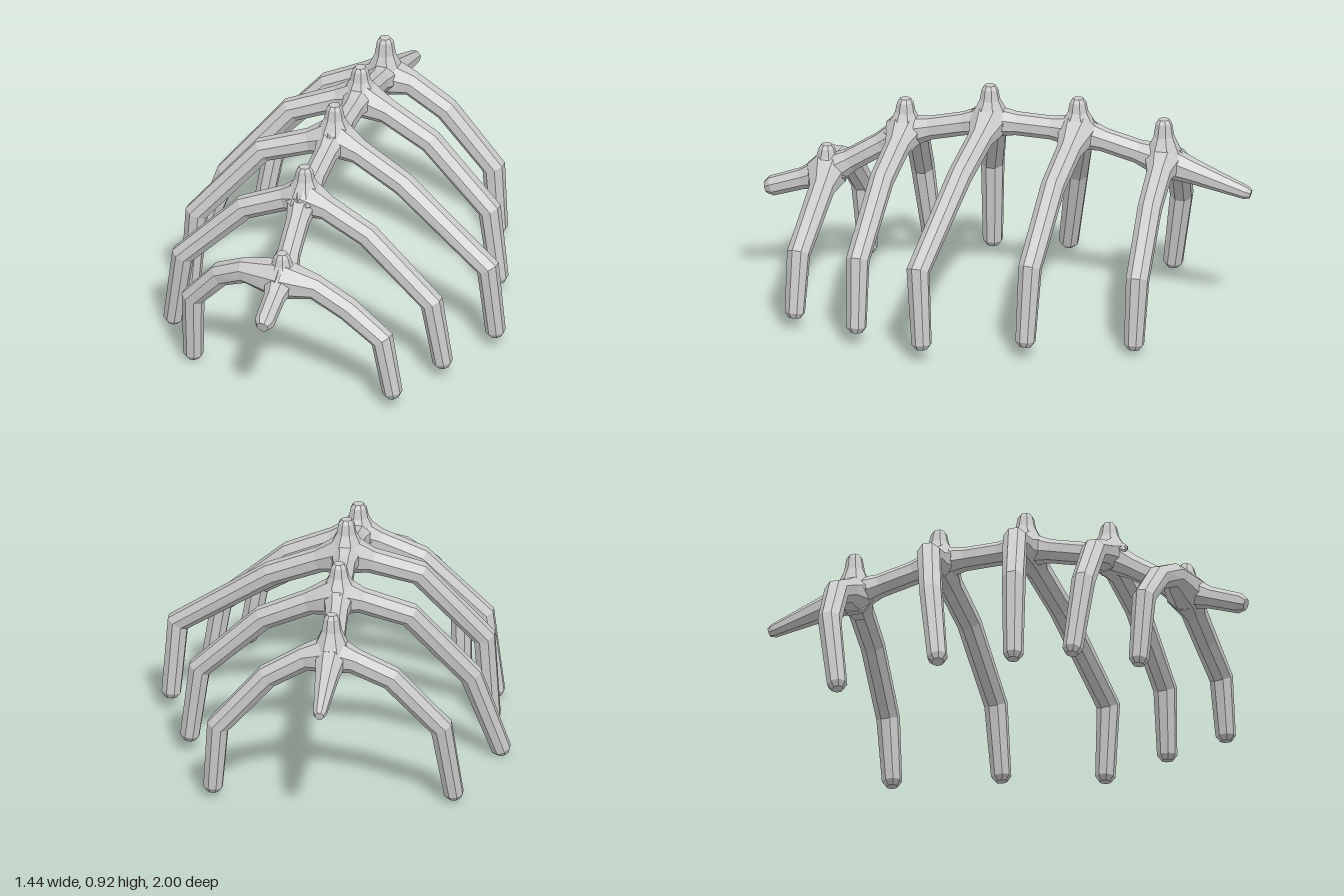
import * as THREE from 'three';

const material = new THREE.MeshStandardMaterial({ color: 0xcccccc, flatShading: true });
const SIDES = 8;

// Faceted limb through stations [x, y, z, radius]; ref keeps the rings from twisting
function limb(name, stations, ref) {
  const pts = stations.map(s => new THREE.Vector3(s[0], s[1], s[2]));
  const pos = [], index = [], last = pts.length - 1;
  pts.forEach((p, i) => {
    const t = new THREE.Vector3();
    if (i > 0) t.add(p.clone().sub(pts[i - 1]).normalize());
    if (i < last) t.add(pts[i + 1].clone().sub(p).normalize());
    t.normalize();
    const b = ref.clone().addScaledVector(t, -ref.dot(t)).normalize();
    const n = t.clone().cross(b);
    for (let k = 0; k < SIDES; k++) {
      const a = (k + 0.5) / SIDES * Math.PI * 2, r = stations[i][3];
      const v = p.clone().addScaledVector(b, Math.cos(a) * r).addScaledVector(n, Math.sin(a) * r);
      pos.push(v.x, v.y, v.z);
    }
  });
  for (let i = 0; i < last; i++) {
    for (let k = 0; k < SIDES; k++) {
      const a = i * SIDES + k, b = i * SIDES + (k + 1) % SIDES;
      index.push(a, b, b + SIDES, a, b + SIDES, a + SIDES);
    }
  }
  // flat end caps
  const e = last * SIDES;
  for (let k = 1; k < SIDES - 1; k++) index.push(0, k + 1, k, e, e + k, e + k + 1);
  const g = new THREE.BufferGeometry();
  g.setAttribute('position', new THREE.Float32BufferAttribute(pos, 3));
  g.setIndex(index);
  const flat = g.toNonIndexed();
  flat.computeVertexNormals();
  const mesh = new THREE.Mesh(flat, material);
  mesh.name = name;
  return mesh;
}

// Adds a small bevel ring at the tip of a limb
function bevelEnd(stations, length = 0.022) {
  const a = new THREE.Vector3(...stations.at(-2)), b = new THREE.Vector3(...stations.at(-1));
  const r = stations.at(-1)[3];
  const q = b.clone().addScaledVector(b.clone().sub(a).normalize(), length);
  return [...stations, [q.x, q.y, q.z, r * 0.6]];
}

// Vertebrae from front to back: centre, spike top, and rib points for each side
const VERTEBRAE = [
  { c: [-0.04, 0.5, 0.74], top: 0.62,
    left: [[0.1, 0.48, 0.73], [0.24, 0.41, 0.74], [0.39, 0.31, 0.76], [0.435, 0.075, 0.765]],
    right: [[-0.2, 0.505, 0.73], [-0.31, 0.45, 0.7], [-0.435, 0.31, 0.68], [-0.44, 0.035, 0.66]] },
  { c: [-0.05, 0.7, 0.42], top: 0.84,
    left: [[0.05, 0.67, 0.43], [0.23, 0.59, 0.455], [0.51, 0.35, 0.49], [0.555, 0.08, 0.485]],
    right: [[-0.13, 0.68, 0.42], [-0.3, 0.61, 0.43], [-0.55, 0.36, 0.46], [-0.6, 0.04, 0.43]] },
  { c: [-0.04, 0.78, 0.07], top: 0.93,
    left: [[0.07, 0.74, 0.085], [0.27, 0.65, 0.125], [0.655, 0.38, 0.21], [0.68, 0.08, 0.19]],
    right: [[-0.14, 0.75, 0.08], [-0.33, 0.69, 0.11], [-0.585, 0.39, 0.18], [-0.61, 0.045, 0.185]] },
  { c: [-0.05, 0.76, -0.29], top: 0.9,
    left: [[0.07, 0.72, -0.28], [0.26, 0.63, -0.255], [0.52, 0.38, -0.22], [0.56, 0.08, -0.21]],
    right: [[-0.14, 0.74, -0.285], [-0.33, 0.67, -0.25], [-0.57, 0.38, -0.17], [-0.685, 0.035, -0.11]] },
  { c: [-0.06, 0.66, -0.64], top: 0.835,
    left: [[0.05, 0.64, -0.645], [0.2, 0.55, -0.64], [0.4, 0.32, -0.635], [0.42, 0.05, -0.625]],
    right: [[-0.15, 0.64, -0.65], [-0.3, 0.57, -0.645], [-0.5, 0.35, -0.615], [-0.545, 0.04, -0.57]] }
];

export function createModel() {
  const group = new THREE.Group();
  group.name = 'ribcage';
  const X = new THREE.Vector3(1, 0, 0), Z = new THREE.Vector3(0, 0, 1);

  // Backbone, swelling at every vertebra
  const spine = [[-0.04, 0.415, 0.99, 0.025], [-0.04, 0.423, 0.965, 0.041], [-0.04, 0.465, 0.84, 0.044]];
  VERTEBRAE.forEach(({ c }, i) => {
    spine.push([...c, 0.07]);
    const next = VERTEBRAE[i + 1]?.c;
    if (next) {
      for (const f of [0.3, 0.7]) {
        spine.push([...c.map((v, k) => v + (next[k] - v) * f), 0.048]);
      }
    }
  });
  spine.push([-0.055, 0.62, -0.77, 0.05], [-0.05, 0.553, -0.98, 0.028], [-0.05, 0.548, -1, 0.018]);
  group.add(limb('spine', spine, X));

  VERTEBRAE.forEach(({ c, top, left, right }, i) => {
    const [x, y, z] = c, h = top - y;
    // Spike flaring into the backbone
    group.add(limb(`spike${i + 1}`, [
      [x, y - 0.05, z, 0.055], [x, y, z, 0.09], [x, y + h * 0.4, z, 0.058],
      [x, y + h * 0.6, z, 0.042], [x, top - 0.015, z, 0.033], [x, top, z, 0.022]
    ], Z));
    // Ribs, thick at the root
    for (const [side, path] of [['left', left], ['right', right]]) {
      const radii = [0.052, 0.05, 0.048, 0.041];
      const stations = [[x, y, z, 0.085], ...path.map((p, k) => [...p, radii[k]])];
      group.add(limb(`${side}Rib${i + 1}`, bevelEnd(stations), Z));
    }
  });
  return group;
}
